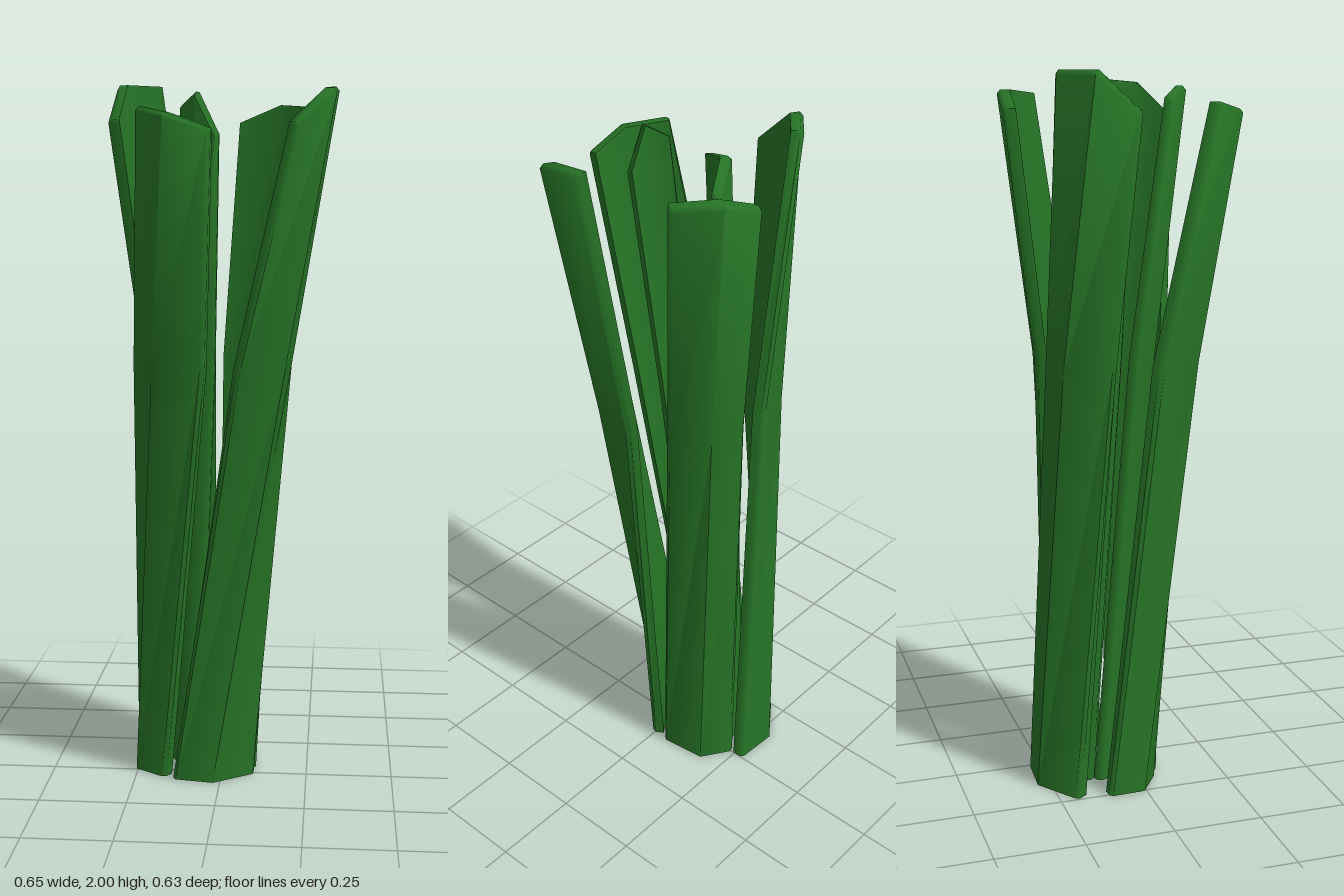
import * as THREE from 'three';
import { toCreasedNormals } from 'three/addons/utils/BufferGeometryUtils.js';

// Each stalk: outer edge as three [x, z] points at the base, the bend and the tip,
// plus the height of each tip point (the tips are cut at a slant).
const MID_Y = 1.22;
const BEVEL = 0.01;
const STALKS = [
  { name: 'frontStalk', t: 0.035,
    base: [[-0.14, 0.068], [-0.02, 0.087], [0.10, 0.005]],
    mid: [[0.055, 0.165], [0.185, 0.115], [0.20, -0.005]],
    tip: [[0.215, 0.232], [0.32, 0.155], [0.326, 0.025]], tipY: [1.88, 1.97, 1.98] },
  { name: 'rightBackStalk', t: 0.035,
    base: [[0.10, -0.04], [0.083, -0.18], [-0.005, -0.24]],
    mid: [[0.165, -0.115], [0.11, -0.227], [-0.005, -0.25]],
    tip: [[0.257, -0.205], [0.17, -0.305], [0.035, -0.318]], tipY: [1.94, 1.95, 1.90] },
  { name: 'backStalk', t: 0.035,
    base: [[0.0, -0.28], [-0.13, -0.288], [-0.25, -0.20]],
    mid: [[-0.09, -0.245], [-0.20, -0.22], [-0.24, -0.085]],
    tip: [[-0.212, -0.243], [-0.315, -0.16], [-0.326, -0.037]], tipY: [2.0, 2.0, 1.90] },
  { name: 'leftStalk', t: 0.035,
    base: [[-0.26, -0.11], [-0.255, -0.005], [-0.165, 0.055]],
    mid: [[-0.25, 0.04], [-0.18, 0.17], [-0.035, 0.195]],
    tip: [[-0.217, 0.212], [-0.13, 0.31], [-0.005, 0.316]], tipY: [1.92, 1.90, 1.86] },
  { name: 'innerFrontStalk', t: 0.027,
    base: [[-0.16, -0.11], [-0.13, -0.045], [-0.07, -0.04]],
    mid: [[-0.115, 0.01], [-0.08, 0.075], [-0.015, 0.08]],
    tip: [[-0.11, 0.115], [-0.06, 0.17], [0.005, 0.17]], tipY: [1.93, 1.96, 1.85] },
  { name: 'innerBackStalk', t: 0.027,
    base: [[-0.03, -0.20], [-0.10, -0.20], [-0.15, -0.135]],
    mid: [[-0.035, -0.155], [-0.115, -0.13], [-0.15, -0.045]],
    tip: [[-0.038, -0.125], [-0.14, -0.07], [-0.148, 0.0]], tipY: [1.85, 1.91, 1.90] },
];

// Closed eight-point cross-section: outer edge with bevelled ends, then the inner
// edge backwards. The outer edge can be drawn in by inset to round off the tip.
function section(points, ys, t, inset = 0) {
  const p = points.map(([x, z]) => new THREE.Vector2(x, z));
  const d0 = p[1].clone().sub(p[0]).normalize();
  const d2 = p[2].clone().sub(p[1]).normalize();
  const n0 = new THREE.Vector2(d0.y, -d0.x), n2 = new THREE.Vector2(d2.y, -d2.x);
  const n1 = n0.clone().add(n2).normalize();
  n1.divideScalar(n1.dot(n0));
  // Point i, moved inwards by depth and along the edge by slide
  const at = (i, depth, slide = 0) => {
    const v = p[i].clone().addScaledVector([n0, n1, n2][i], depth);
    v.addScaledVector(i === 0 ? d0 : d2, slide);
    return [v.x, ys[i], v.y];
  };
  return [
    at(0, BEVEL + inset), at(0, inset, BEVEL), at(1, inset), at(2, inset, -BEVEL), at(2, BEVEL + inset),
    at(2, t), at(1, t), at(0, t),
  ];
}

// Loft the cross-sections into a closed, curved shell
function stalkGeometry({ base, mid, tip, tipY, t }) {
  const mix = THREE.MathUtils.lerp, k = 0.985;
  const shoulder = tip.map((q, i) => q.map((v, a) => mix(mid[i][a], v, k)));
  const rings = [
    section(base, [0, 0, 0], t),
    section(mid, [MID_Y, MID_Y, MID_Y], t),
    section(shoulder, tipY.map((y) => mix(MID_Y, y, k)), t),
    section(tip, tipY, t, BEVEL),
  ];
  const n = 8, index = [];
  for (let r = 0; r < rings.length - 1; r++) {
    for (let j = 0; j < n; j++) {
      const a = r * n + j, b = r * n + (j + 1) % n;
      index.push(a, b, b + n, a, b + n, a + n);
    }
  }
  // End caps
  const cap = [[0, 1, 7], [1, 2, 6], [1, 6, 7], [2, 3, 5], [2, 5, 6], [3, 4, 5]];
  const top = (rings.length - 1) * n;
  for (const [a, b, c] of cap) index.push(c, b, a, top + a, top + b, top + c);

  const geometry = new THREE.BufferGeometry();
  geometry.setAttribute('position', new THREE.Float32BufferAttribute(rings.flat(2), 3));
  geometry.setIndex(index);
  return toCreasedNormals(geometry, 1.1);
}

export function createModel() {
  const group = new THREE.Group();
  group.name = 'stalkBunch';
  const green = new THREE.MeshStandardMaterial({ color: 0x267326 });
  green.name = 'stalk green';
  for (const stalk of STALKS) {
    const mesh = new THREE.Mesh(stalkGeometry(stalk), green);
    mesh.name = stalk.name;
    group.add(mesh);
  }
  return group;
}
